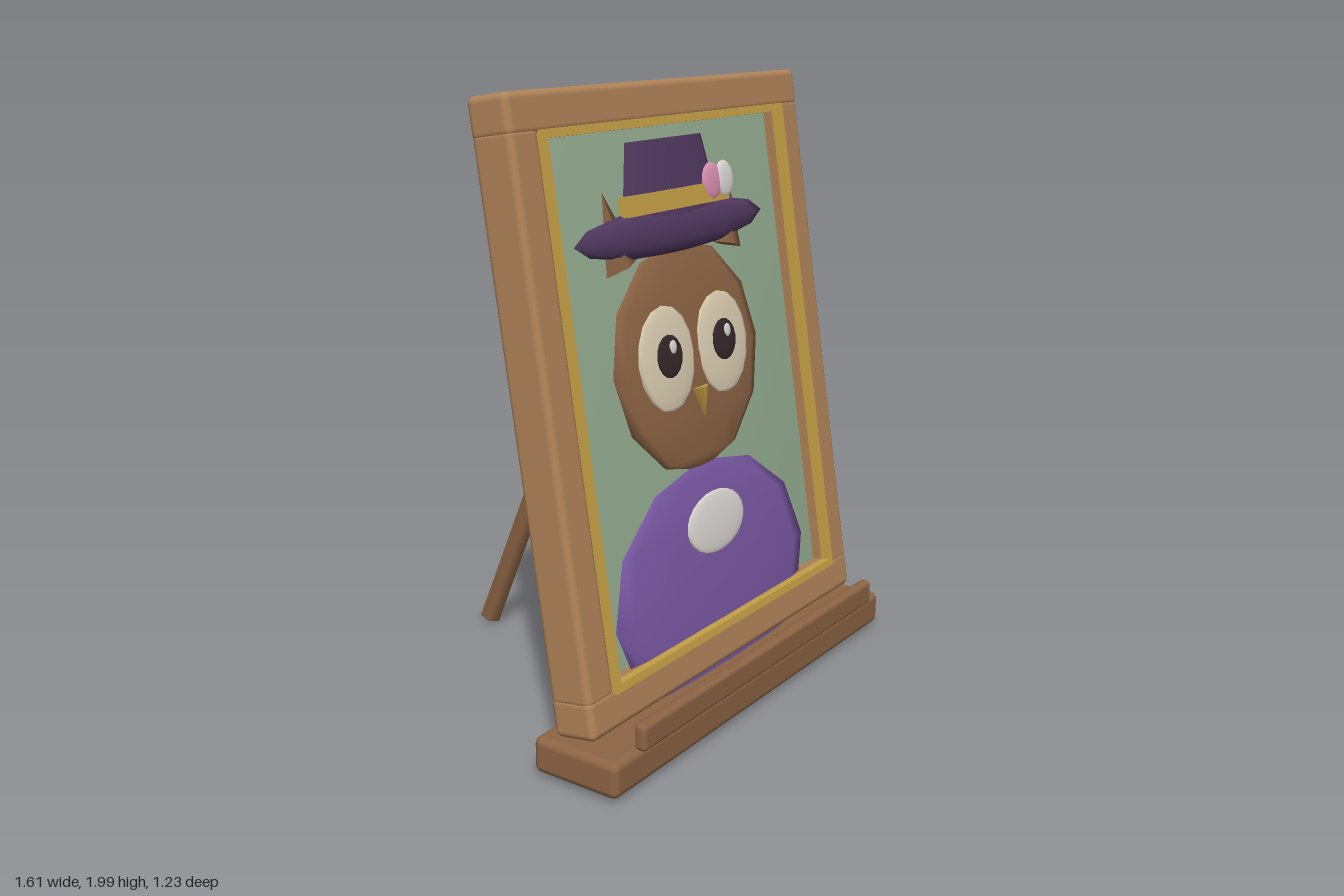
import * as THREE from 'three';
import { mergeVertices } from 'three/addons/utils/BufferGeometryUtils.js';
import { RoundedBoxGeometry } from 'three/addons/geometries/RoundedBoxGeometry.js';

function material(name, color) {
  const m = new THREE.MeshStandardMaterial({ color });
  m.name = name;
  return m;
}

export function createModel() {
  const wood = material('light wood', 0xb08358);
  const darkWood = material('brown', 0x8e6545);
  const gold = material('gold', 0xcba448);
  const green = material('sage green', 0x96ae92);
  const purple = material('purple', 0x7a58a4);
  const plum = material('plum', 0x533a62);
  const cream = material('cream', 0xded0b4);
  const white = material('white', 0xdcd8d4);
  const black = material('dark pupil', 0x35282a);
  const pink = material('pink', 0xdc92b4);

  const model = new THREE.Group();
  model.name = 'framedPortrait';

  // Everything in the leaning picture lives in this tilted group
  const picture = new THREE.Group();
  picture.name = 'leaningPicture';
  picture.position.set(0, 0.15, 0.42);
  picture.rotation.x = -0.16;
  model.add(picture);

  function add(parent, name, geometry, mat, x, y, z) {
    const mesh = new THREE.Mesh(geometry, mat);
    mesh.name = name;
    mesh.position.set(x, y, z);
    parent.add(mesh);
    return mesh;
  }
  const rounded = (w, h, d, r) => new RoundedBoxGeometry(w, h, d, 3, r);
  // Flattened sphere, poles up and down
  function blob(name, mat, x, y, z, rx, ry, rz, around = 12, rings = 6) {
    const g = new THREE.SphereGeometry(1, around, rings);
    g.scale(rx, ry, rz);
    return add(picture, name, g, mat, x, y, z);
  }

  // Frame rails and stiles
  add(picture, 'topRail', rounded(1.54, 0.125, 0.148, 0.022), wood, 0, 1.7975, 0);
  add(picture, 'bottomRail', rounded(1.54, 0.125, 0.148, 0.022), wood, 0, 0.0625, 0);
  for (const s of [-1, 1]) {
    add(picture, s > 0 ? 'leftStile' : 'rightStile', rounded(0.125, 1.66, 0.146, 0.022), wood, s * 0.707, 0.93, 0);
  }

  // Gold trim inside the frame
  for (const s of [-1, 1]) {
    add(picture, 'trimSide', new THREE.BoxGeometry(0.026, 1.64, 0.03), gold, s * 0.637, 0.927, 0.069);
    add(picture, 'trimRail', new THREE.BoxGeometry(1.3, 0.026, 0.03), gold, 0, 0.927 + s * 0.808, 0.069);
  }

  // Backing board, with normals shared around its edges
  let board = new THREE.BoxGeometry(1.3, 1.64, 0.04);
  board.deleteAttribute('normal');
  board.deleteAttribute('uv');
  board = mergeVertices(board);
  board.computeVertexNormals();
  add(picture, 'backingBoard', board, green, 0, 0.93, -0.012);

  // Owl body, bib and head
  blob('body', purple, 0, 0.253, 0.028, 0.55, 0.4, 0.03);
  blob('bib', white, 0, 0.45, 0.055, 0.165, 0.1, 0.012, 16, 12);
  blob('head', darkWood, 0, 0.993, 0.028, 0.405, 0.373, 0.03);

  // Eyes and ears
  for (const s of [-1, 1]) {
    blob('eye', cream, s * 0.155, 1.01, 0.054, 0.152, 0.167, 0.012, 12, 8);
    blob('pupil', black, s * 0.155, 1.018, 0.065, 0.068, 0.068, 0.006, 12, 8);
    blob('eyeHighlight', white, s * 0.155 + 0.016, 1.045, 0.07, 0.02, 0.022, 0.004, 8, 6);
    const earShape = new THREE.ConeGeometry(0.085, 0.24, 4);
    earShape.scale(1, 1, 0.3);
    const ear = add(picture, 'ear', earShape, darkWood, s * 0.317, 1.43, 0.028);
    ear.rotation.z = -s * 0.23;
  }

  // Beak, pointing down
  const beakShape = new THREE.ConeGeometry(0.046, 0.1, 4);
  beakShape.rotateX(Math.PI);
  beakShape.scale(1, 1, 0.4);
  add(picture, 'beak', beakShape, gold, 0, 0.842, 0.06);

  // Hat: brim, crown, band and flowers
  blob('hatBrim', plum, 0, 1.403, 0.034, 0.515, 0.08, 0.034);
  const crownShape = new THREE.CylinderGeometry(0.207, 0.275, 0.272, 12);
  crownShape.scale(1, 1, 0.12);
  add(picture, 'hatCrown', crownShape, plum, 0, 1.546, 0.032);
  add(picture, 'hatBand', new THREE.BoxGeometry(0.55, 0.062, 0.04), gold, 0, 1.492, 0.051);
  blob('pinkFlower', pink, 0.187, 1.528, 0.068, 0.057, 0.06, 0.01, 12, 8);
  blob('whiteFlower', white, 0.26, 1.528, 0.068, 0.053, 0.06, 0.012, 12, 8);

  // Ledge the frame stands on, with its front lip
  add(model, 'ledge', rounded(1.61, 0.115, 0.305, 0.025), darkWood, 0, 0.082, 0.442);
  add(model, 'ledgeLip', rounded(1.39, 0.084, 0.042, 0.015), darkWood, 0, 0.181, 0.597);

  // Six-sided prop leg behind
  const top = new THREE.Vector3(0, 1.503, 0.045);
  const foot = new THREE.Vector3(0, 0.026, -0.575);
  const axis = top.clone().sub(foot);
  const leg = add(model, 'propLeg', new THREE.CylinderGeometry(0.04, 0.04, axis.length(), 6), darkWood, 0, 0, 0);
  leg.position.copy(top).add(foot).multiplyScalar(0.5);
  leg.quaternion.setFromUnitVectors(new THREE.Vector3(0, 1, 0), axis.normalize());

  return model;
}
